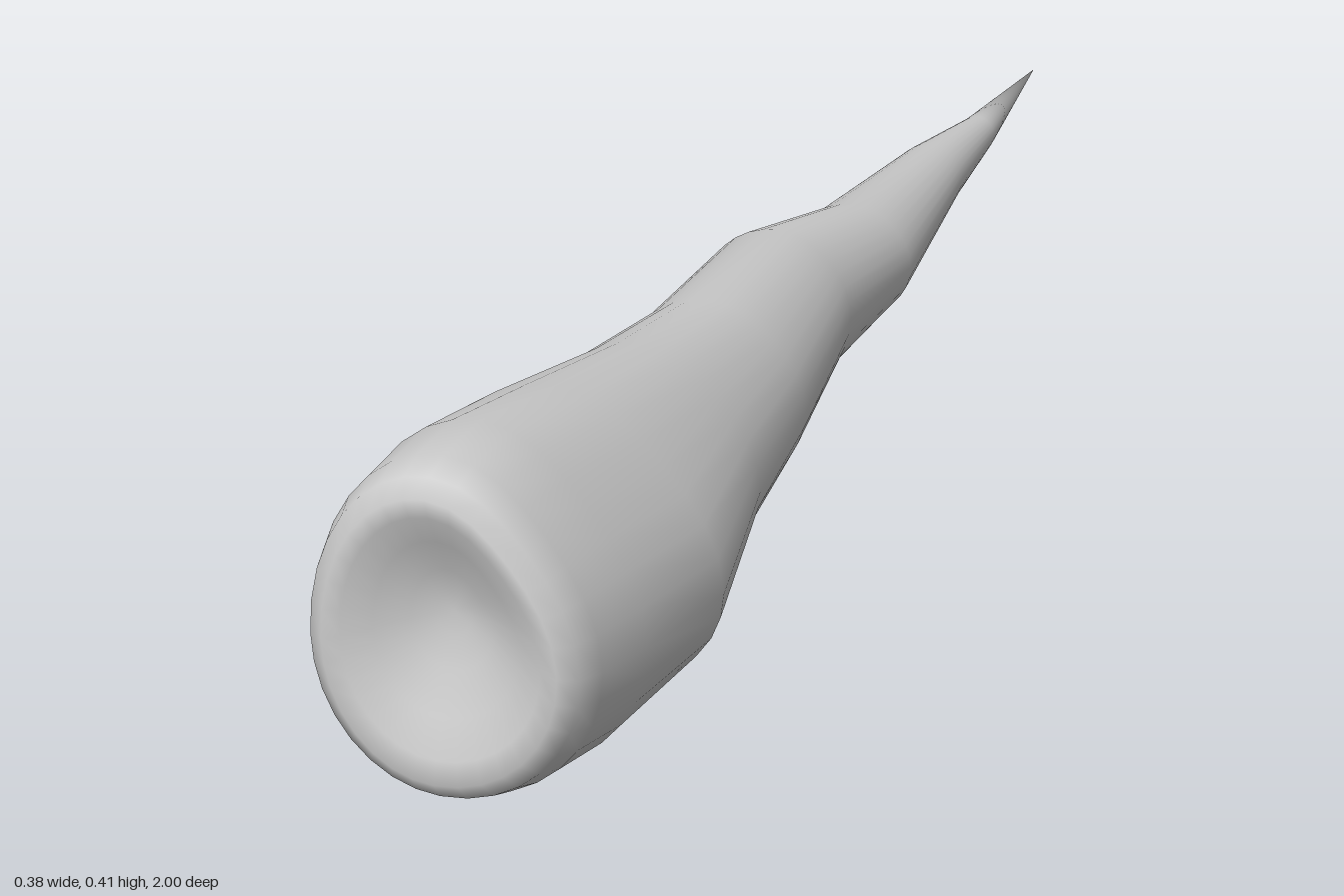
import * as THREE from 'three';

const SIDES = 32;

// Cross-sections from the tip to the butt: [z, xMin, xMax, yMin, yMax, midX, midY, upper-left-of-viewer flattening]
const SECTIONS = [
  [-0.73, -0.020, 0.030, 0.185, 0.235, 0.005, 0.210, 0],
  [-0.52, -0.037, 0.055, 0.177, 0.265, 0.009, 0.222, 0],
  [-0.24, -0.077, 0.080, 0.126, 0.277, 0.000, 0.200, 0.02],
  [0.00, -0.113, 0.086, 0.120, 0.326, -0.012, 0.222, 0.03],
  [0.25, -0.120, 0.120, 0.092, 0.328, -0.005, 0.200, 0.04],
  [0.48, -0.131, 0.152, 0.092, 0.360, 0.000, 0.200, 0.06],
  [0.69, -0.194, 0.190, 0.022, 0.390, -0.010, 0.170, 0.08],
  [0.86, -0.190, 0.170, 0.003, 0.417, -0.020, 0.180, 0.08],
  [0.95, -0.182, 0.156, 0.014, 0.413, -0.022, 0.190, 0.07],
  [0.985, -0.170, 0.145, 0.026, 0.402, -0.022, 0.195, 0.07],
  [1.00, -0.150, 0.125, 0.046, 0.382, -0.022, 0.198, 0.07],
];

// Rings of the dished end face: [scale towards its centre, z]
const DISH = [[0.85, 0.996], [0.62, 0.98], [0.35, 0.963], [0.15, 0.956]];
const DISH_CENTRE = [-0.012, 0.235];

// Four quarter ellipses joined into one loop, the upper +x quarter flattened
function ring([z, x0, x1, y0, y1, mx, my, flat]) {
  return Array.from({ length: SIDES }, (_, i) => {
    const a = (i / SIDES) * Math.PI * 2;
    const c = Math.cos(a), s = Math.sin(a);
    const k = c > 0 && s > 0 ? 1 - flat * Math.sin(2 * a) ** 2 : 1;
    return [mx + k * c * (c > 0 ? x1 - mx : mx - x0), my + k * s * (s > 0 ? y1 - my : my - y0), z];
  });
}

function spikeGeometry() {
  const rings = SECTIONS.map(ring);
  const rim = rings[rings.length - 1];
  const [cx, cy] = DISH_CENTRE;
  for (const [k, z] of DISH) {
    rings.push(rim.map(([x, y]) => [cx + (x - cx) * k, cy + (y - cy) * k, z]));
  }

  const points = [...rings.flat(), [0, 0.217, -1], [cx, cy, 0.955]];
  const tip = points.length - 2, centre = points.length - 1;
  const last = (rings.length - 1) * SIDES;
  const index = [];
  for (let i = 0; i < SIDES; i++) {
    const j = (i + 1) % SIDES;
    index.push(tip, j, i);
    for (let r = 0; r < last; r += SIDES) {
      index.push(r + i, r + j, r + SIDES + j, r + i, r + SIDES + j, r + SIDES + i);
    }
    index.push(last + i, last + j, centre);
  }

  const geometry = new THREE.BufferGeometry();
  geometry.setAttribute('position', new THREE.Float32BufferAttribute(points.flat(), 3));
  geometry.setIndex(index);
  geometry.computeVertexNormals();
  return geometry;
}

export function createModel() {
  const group = new THREE.Group();
  group.name = 'taperedSpike';
  // One smooth skin: pointed shaft, swollen butt and dished end
  const spike = new THREE.Mesh(spikeGeometry(), new THREE.MeshStandardMaterial({ color: 0xcccccc }));
  spike.name = 'spike';
  group.add(spike);
  return group;
}
